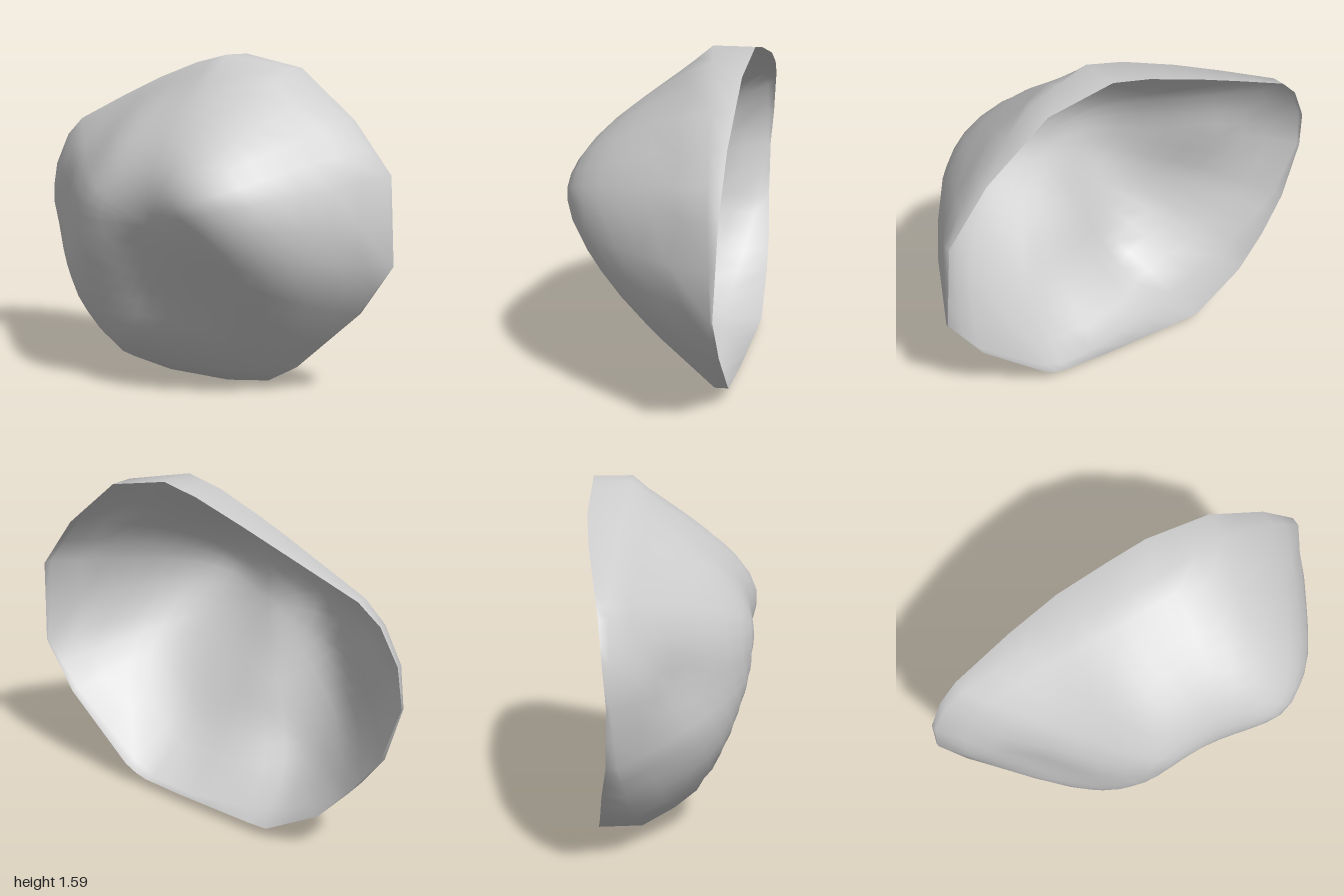
import * as THREE from 'three';

// Outline of the shell, clockwise from its right: x, y, z of the outer edge, z of the open back rim
const OUTLINE = [
  [-1, 0.8, -0.36, -0.375], [-0.98, 0.99, -0.36, -0.39], [-0.9, 1.15, -0.36, -0.4], [-0.8, 1.24, -0.35, -0.41],
  [-0.5, 1.37, -0.31, -0.425], [-0.25, 1.47, -0.27, -0.425], [0, 1.55, -0.22, -0.4], [0.18, 1.59, -0.2, -0.385],
  [0.49, 1.53, -0.24, -0.36], [0.78, 1.3, -0.26, -0.335], [0.97, 1.06, -0.28, -0.325], [1, 0.65, -0.3, -0.31],
  [0.84, 0.41, -0.28, -0.32], [0.51, 0.1, -0.26, -0.325], [0.39, 0.03, -0.26, -0.32], [0.17, 0, -0.25, -0.35],
  [-0.15, 0.01, -0.22, -0.38], [-0.36, 0.05, -0.2, -0.4], [-0.63, 0.2, -0.25, -0.4], [-0.78, 0.36, -0.29, -0.395],
  [-0.91, 0.53, -0.33, -0.38],
];

// Heights of the bulge: x, y, z
const BULGE = [
  // brow ridge and its ends
  [0.4, 0.96, 0.42], [0.1, 0.98, 0.36], [-0.25, 0.95, 0.3], [-0.4, 0.9, 0.21], [0.55, 0.95, 0.35],
  [0.68, 0.9, 0.24], [0.8, 0.85, 0.07], [0.92, 0.8, -0.13],
  // upper slope
  [0.35, 1.1, 0.37], [0.3, 1.21, 0.28], [-0.2, 1.2, 0.15], [0.3, 1.38, 0.07], [-0.2, 1.35, -0.05],
  [0.2, 1.5, -0.09], [0.6, 1.2, 0.12], [0.75, 1.1, 0.02],
  // right shoulder
  [-0.5, 0.9, 0.12], [-0.68, 0.8, -0.07], [-0.82, 0.85, -0.17], [-0.92, 0.85, -0.25], [-0.6, 1.15, -0.11],
  [-0.75, 1.1, -0.19],
  // lower slope with its broad lump and shallow crease
  [0.35, 0.8, 0.37], [0.3, 0.66, 0.28], [0, 0.7, 0.27], [-0.28, 0.7, 0.29], [0.3, 0.45, 0.13], [0.6, 0.5, 0.09],
  [0.75, 0.55, 0], [0.5, 0.3, -0.03], [-0.35, 0.47, 0.2], [-0.35, 0.26, 0.09], [-0.3, 0.14, 0],
  [-0.52, 0.58, 0.12], [0, 0.45, 0.14], [0, 0.2, -0.01], [0.25, 0.15, -0.08], [-0.57, 0.36, -0.02], [-0.73, 0.56, -0.1],
];

// Smooth surface through scattered heights
function surfaceThrough(points) {
  const kernel = (ax, ay, b) => Math.sqrt((ax - b[0]) ** 2 + (ay - b[1]) ** 2 + 0.008);
  const n = points.length;
  const m = points.map((a) => [...points.map((b) => kernel(a[0], a[1], b)), a[2]]);
  for (let c = 0; c < n; c++) {
    let p = c;
    for (let r = c + 1; r < n; r++) if (Math.abs(m[r][c]) > Math.abs(m[p][c])) p = r;
    [m[c], m[p]] = [m[p], m[c]];
    for (let r = 0; r < n; r++) {
      if (r === c) continue;
      const f = m[r][c] / m[c][c];
      for (let k = c; k <= n; k++) m[r][k] -= f * m[c][k];
    }
  }
  const weights = m.map((row, i) => row[n] / row[i]);
  return (x, y) => points.reduce((sum, b, i) => sum + weights[i] * kernel(x, y, b), 0);
}

function shellGeometry() {
  const height = surfaceThrough([...OUTLINE.map((p) => p.slice(0, 3)), ...BULGE]);
  const cx = 0.1, cy = 0.85, rings = 12, split = 2;

  // Straight subdivision keeps the angular outline
  const edge = [];
  OUTLINE.forEach((a, i) => {
    const b = OUTLINE[(i + 1) % OUTLINE.length];
    for (let s = 0; s < split; s++) edge.push(a.map((v, k) => v + ((b[k] - v) * s) / split));
  });
  const n = edge.length;

  // Back rim, outer edge, then rings shrinking to the middle of the front
  const positions = [], index = [];
  for (const [x, y, , z] of edge) positions.push(x, Math.max(y, 0.045), z);
  for (let r = 0; r < rings; r++) {
    const t = 1 - r / rings;
    for (const e of edge) {
      const x = cx + (e[0] - cx) * t, y = cy + (e[1] - cy) * t;
      positions.push(x, y, r === 0 ? e[2] : height(x, y));
    }
  }
  positions.push(cx, cy, height(cx, cy));

  for (let r = 0; r < rings; r++) {
    for (let i = 0; i < n; i++) {
      const j = (i + 1) % n;
      const a = r * n + i, b = r * n + j, c = a + n, d = b + n;
      index.push(a, c, b, b, c, d);
    }
  }
  const middle = (rings + 1) * n;
  for (let i = 0; i < n; i++) index.push(rings * n + i, middle, rings * n + ((i + 1) % n));

  const geometry = new THREE.BufferGeometry();
  geometry.setAttribute('position', new THREE.Float32BufferAttribute(positions, 3));
  geometry.setIndex(index);
  geometry.computeVertexNormals();
  return geometry;
}

export function createModel() {
  const group = new THREE.Group();
  group.name = 'rock';
  const material = new THREE.MeshStandardMaterial({ color: 0xcccccc, side: THREE.DoubleSide });
  const shell = new THREE.Mesh(shellGeometry(), material);
  shell.name = 'rockShell';
  group.add(shell);
  return group;
}
